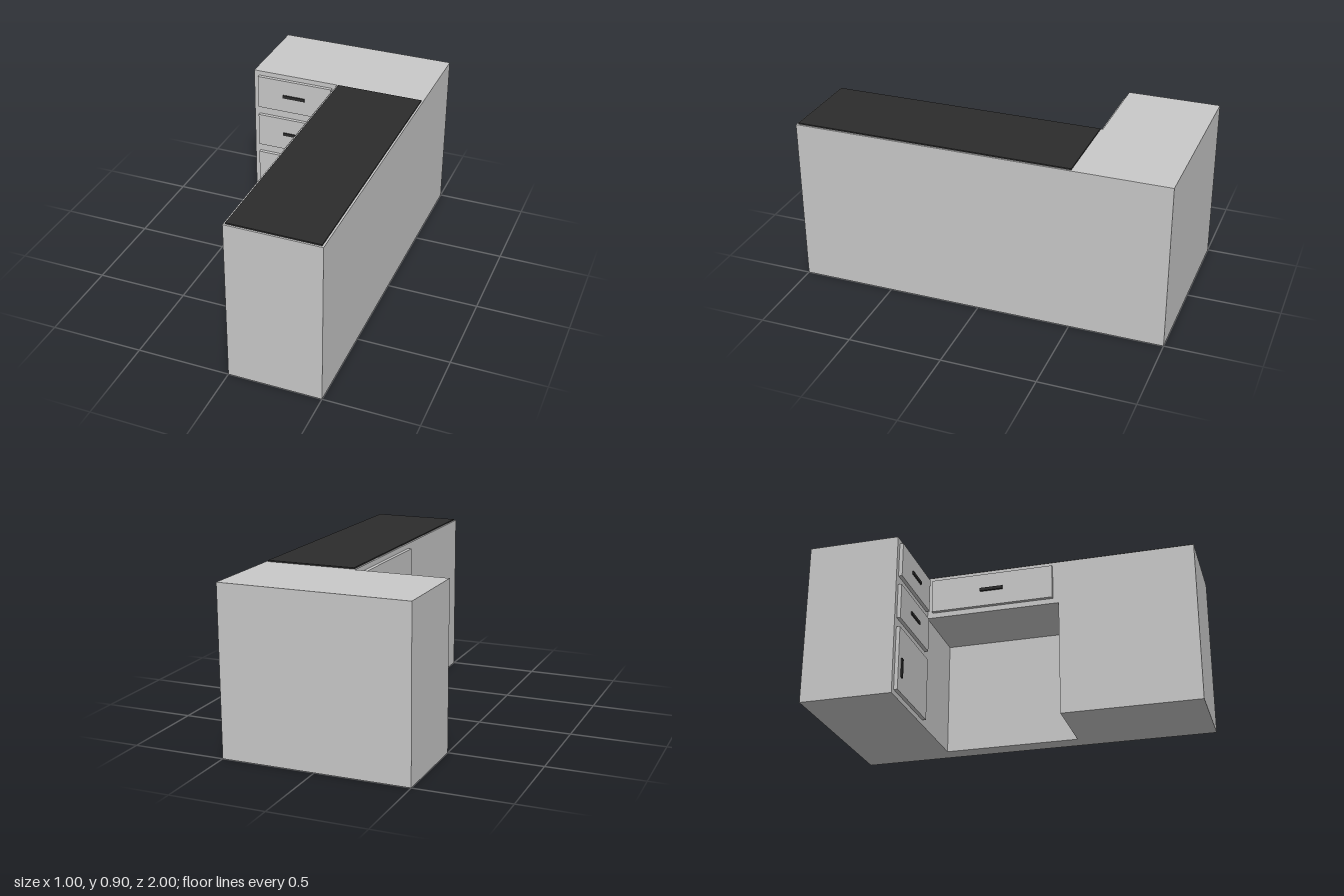
import * as THREE from 'three';

export function createModel() {
  const model = new THREE.Group();
  model.name = 'cornerDesk';

  const lightGrey = new THREE.MeshStandardMaterial({ color: 0xc8c8c8 });
  lightGrey.name = 'lightGrey';
  const charcoal = new THREE.MeshStandardMaterial({ color: 0x2c2c2c });
  charcoal.name = 'charcoal';

  // Box given by its extents along each axis
  function block(name, material, [x0, x1], [y0, y1], [z0, z1]) {
    const mesh = new THREE.Mesh(new THREE.BoxGeometry(x1 - x0, y1 - y0, z1 - z0), material);
    mesh.position.set((x0 + x1) / 2, (y0 + y1) / 2, (z0 + z1) / 2);
    mesh.name = name;
    model.add(mesh);
  }

  const height = 0.895;
  const kneeTop = 0.645;

  // Carcass: rear cabinet, front pedestal, and the panel and drawer box bridging the knee space
  block('rearCabinet', lightGrey, [-0.5, 0.5], [0, height], [-1, -0.5]);
  block('frontPedestal', lightGrey, [0, 0.5], [0, height], [0.25, 1]);
  block('kneeBackPanel', lightGrey, [0.4, 0.5], [0, kneeTop], [-0.5, 0.25]);
  block('kneeDrawerBox', lightGrey, [0, 0.5], [kneeTop, height], [-0.5, 0.25]);

  // Dark inlay on the long worktop
  block('deskTopInlay', charcoal, [0.01, 0.49], [height, 0.902], [-0.49, 0.99]);

  // Rear cabinet: two drawers above a door
  const fronts = [
    { name: 'upperDrawer', y: [0.675, 0.868], hx: [-0.316, -0.186], hy: [0.762, 0.78] },
    { name: 'middleDrawer', y: [0.43, 0.625], hx: [-0.316, -0.186], hy: [0.52, 0.537] },
    { name: 'lowerDoor', y: [0.028, 0.38], hx: [-0.434, -0.414], hy: [0.11, 0.215] },
  ];
  for (const { name, y, hx, hy } of fronts) {
    block(name + 'Front', lightGrey, [-0.47, -0.03], y, [-0.5, -0.48]);
    block(name + 'Handle', charcoal, hx, hy, [-0.48, -0.473]);
  }

  // Drawer over the knee space, opening to the side
  block('kneeDrawerFront', lightGrey, [-0.02, 0], [0.675, 0.868], [-0.47, 0.22]);
  block('kneeDrawerHandle', charcoal, [-0.031, -0.02], [0.762, 0.78], [-0.19, -0.06]);

  return model;
}
